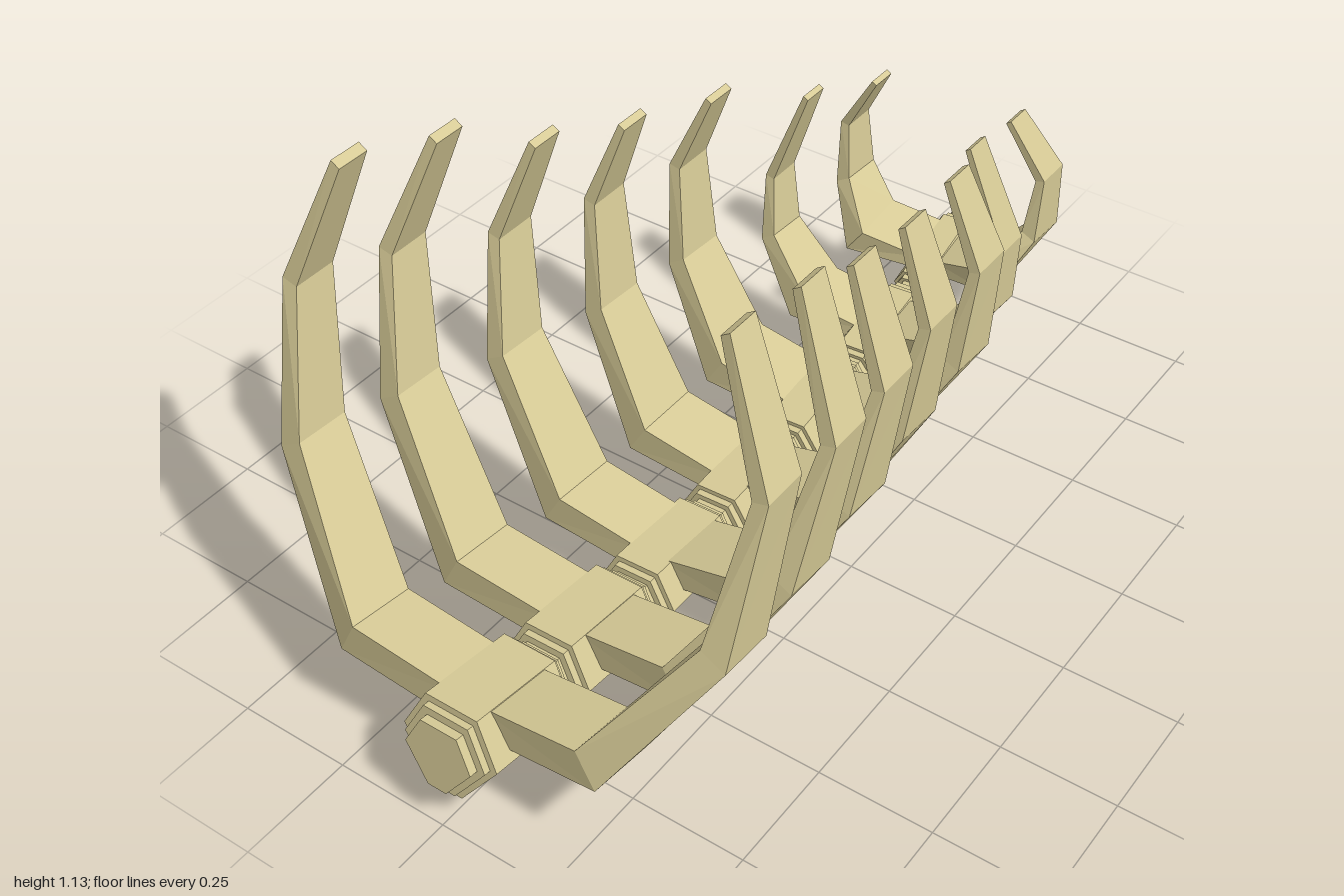
import * as THREE from 'three';

const bone = new THREE.MeshStandardMaterial({ color: 0xd6ca96, flatShading: true });
bone.name = 'bone';

// One entry per spine segment, front to back.
// x, y, z: vertebra centre; w, h: its half size; pitch: rise toward the front; yaw: turn
// elbow, mid, up, tip: outer rib corners as [distance from the spine, height, depth position]
const segments = [
  { x: 0, y: 0.15, z: 0.85, w: 0.11, h: 0.1, pitch: 0.15, yaw: 0, depth: 0.15,
    elbow: [0.3, 0.2, 0.84], mid: [0.505, 0.53, 0.745], up: [0.53, 0.86, 0.67], tip: [0.42, 1.125, 0.63] },
  { x: -0.003, y: 0.113, z: 0.57, w: 0.1, h: 0.092, pitch: 0.11, yaw: 0.01, depth: 0.15,
    elbow: [0.285, 0.162, 0.565], mid: [0.475, 0.495, 0.505], up: [0.508, 0.8, 0.44], tip: [0.4, 1.06, 0.4] },
  { x: -0.01, y: 0.085, z: 0.285, w: 0.09, h: 0.08, pitch: 0.06, yaw: 0.03, depth: 0.155,
    elbow: [0.25, 0.14, 0.28], mid: [0.425, 0.44, 0.235], up: [0.45, 0.71, 0.185], tip: [0.358, 0.937, 0.165] },
  { x: -0.02, y: 0.08, z: 0, w: 0.083, h: 0.07, pitch: 0, yaw: 0.04, depth: 0.155,
    elbow: [0.24, 0.13, -0.005], mid: [0.38, 0.4, -0.04], up: [0.403, 0.66, -0.07], tip: [0.325, 0.855, -0.08] },
  { x: -0.035, y: 0.084, z: -0.285, w: 0.076, h: 0.064, pitch: -0.06, yaw: 0.05, depth: 0.155,
    elbow: [0.225, 0.132, -0.285], mid: [0.355, 0.365, -0.32], up: [0.37, 0.605, -0.34], tip: [0.285, 0.79, -0.34] },
  { x: -0.05, y: 0.108, z: -0.57, w: 0.065, h: 0.052, pitch: -0.1, yaw: 0.07, depth: 0.13,
    elbow: [0.185, 0.142, -0.565], mid: [0.285, 0.29, -0.59], up: [0.292, 0.45, -0.605], tip: [0.2, 0.685, -0.595] },
  { x: -0.07, y: 0.14, z: -0.855, w: 0.055, h: 0.043, pitch: -0.13, yaw: 0.1, depth: 0.135,
    elbow: [0.185, 0.165, -0.84], mid: [0.25, 0.29, -0.885], up: [0.253, 0.45, -0.89], tip: [0.17, 0.59, -0.865] },
];

// Six-sided vertebra block, broad at the shoulders and narrow at the keel
function vertebraBlock(w, h, length) {
  const half = [[0.28, -1], [1, 0.05], [0.55, 1]];
  const outline = [...half, ...half.map(([x, y]) => [-x, y]).reverse()];
  const shape = new THREE.Shape(outline.map(([x, y]) => new THREE.Vector2(x * w, y * h)));
  const geometry = new THREE.ExtrudeGeometry(shape, { depth: length, bevelEnabled: false });
  return geometry.translate(0, 0, -length / 2);
}

// Four-sided tapered rib lofted through five cross-sections
function ribGeometry(seg, side) {
  const t = seg.elbow[0];
  const lift = 0.02 + seg.elbow[0] * 0.2;
  // [outer x, outer y, z, inner shift x, inner shift y, depth, tilt]
  const stations = [
    [0.02, seg.y + 0.1 * seg.h, seg.z - 0.02, 0, seg.h * 0.8, seg.depth, seg.pitch],
    [...seg.elbow, -0.04, lift, seg.depth, seg.pitch],
    [...seg.mid, -0.17 * t, 0.1 * t, seg.depth * 0.8, 0.06],
    [...seg.up, -0.11 * t, -0.03 * t, seg.depth * 0.63, 0],
    [...seg.tip, -0.06 * t, -0.04 * t, seg.depth * 0.47, 0],
  ];
  const rings = stations.map(([x, y, z, dx, dy, depth, tilt]) =>
    [[0, 1], [0, -1], [1, -1], [1, 1]].map(([inner, front]) => {
      const dz = front * depth / 2;
      const px = side * (x + inner * dx);
      return [seg.x + px, y + inner * dy + dz * tilt, z + dz - px * seg.yaw];
    }));
  const points = [];
  const quad = (a, b, c, d) => {
    const corners = side > 0 ? [a, b, c, a, c, d] : [a, c, b, a, d, c];
    corners.forEach((p) => points.push(...p));
  };
  for (let i = 0; i < rings.length - 1; i++) {
    for (let k = 0; k < 4; k++) {
      const n = (k + 1) % 4;
      quad(rings[i][k], rings[i][n], rings[i + 1][n], rings[i + 1][k]);
    }
  }
  quad(...rings[rings.length - 1]);
  quad(...[...rings[0]].reverse());
  const geometry = new THREE.BufferGeometry();
  geometry.setAttribute('position', new THREE.Float32BufferAttribute(points, 3));
  geometry.computeVertexNormals();
  return geometry;
}

export function createModel() {
  const model = new THREE.Group();
  model.name = 'ribCage';

  for (const seg of segments) {
    // Stepped vertebra: body, end plates and the disc joining its neighbours
    const vertebra = new THREE.Group();
    vertebra.name = 'vertebra';
    vertebra.position.set(seg.x, seg.y, seg.z);
    vertebra.rotation.set(-Math.atan(seg.pitch), seg.yaw, 0);
    const parts = [['body', 1, 0.22], ['endPlates', 0.86, 0.25], ['disc', 0.7, 0.288]];
    for (const [name, scale, length] of parts) {
      const mesh = new THREE.Mesh(vertebraBlock(seg.w * scale, seg.h * scale, length), bone);
      mesh.name = name;
      vertebra.add(mesh);
    }
    model.add(vertebra);

    // Mirrored pair of ribs
    for (const side of [1, -1]) {
      const rib = new THREE.Mesh(ribGeometry(seg, side), bone);
      rib.name = side > 0 ? 'leftRib' : 'rightRib';
      model.add(rib);
    }
  }
  return model;
}
